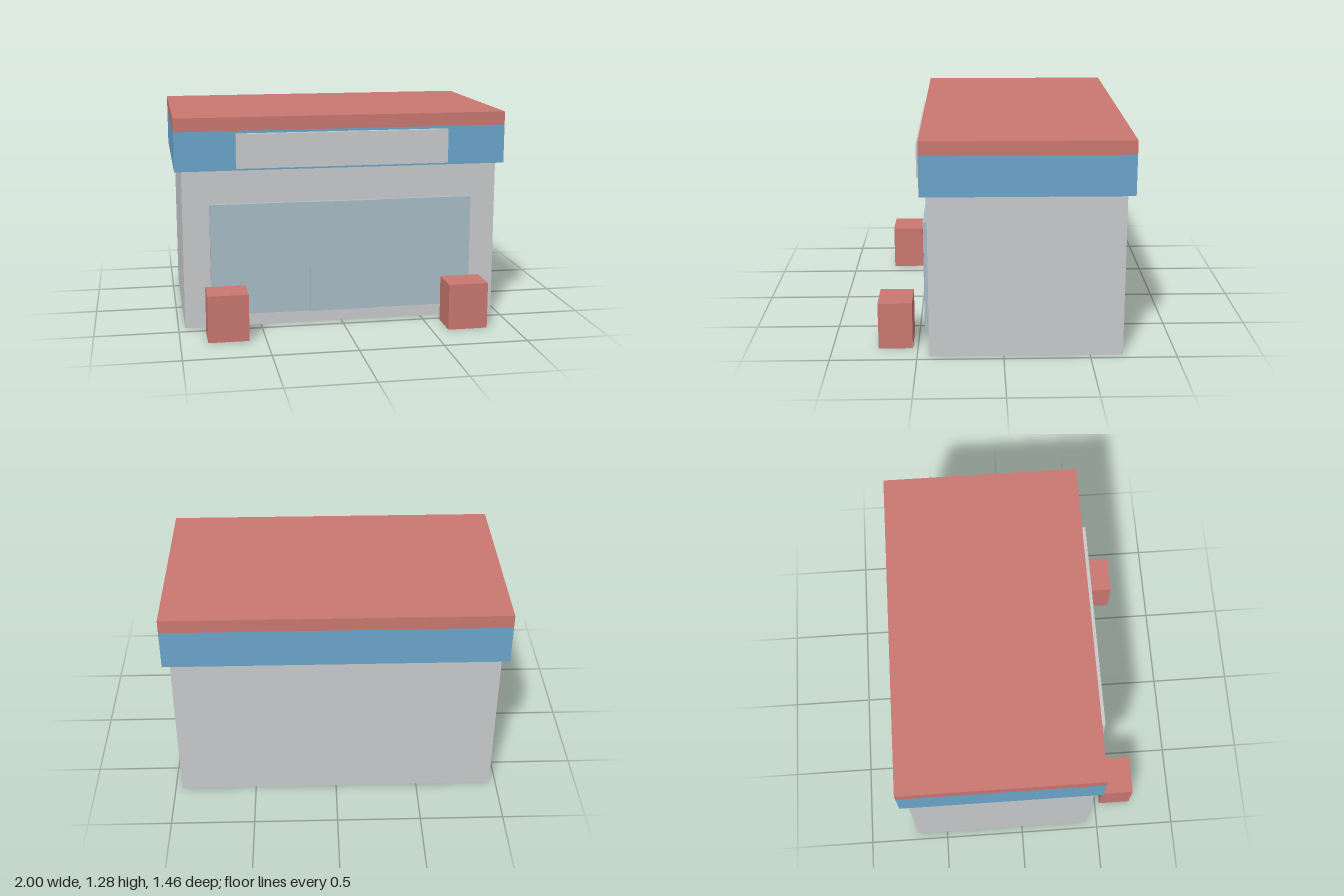
import * as THREE from 'three';

const material = (name, color) => {
  const m = new THREE.MeshStandardMaterial({ color });
  m.name = name;
  return m;
};

export function createModel() {
  const group = new THREE.Group();
  group.name = 'shopBuilding';

  const wallGrey = material('wallGrey', 0xc8c9ca);
  const fasciaBlue = material('fasciaBlue', 0x6aa5cb);
  const brickRed = material('brickRed', 0xc97770);
  const glassBlue = material('glassBlue', 0xa8bbc6);

  // Box given by its limits on each axis
  const block = (name, mat, [x0, x1], [y0, y1], [z0, z1]) => {
    const mesh = new THREE.Mesh(new THREE.BoxGeometry(x1 - x0, y1 - y0, z1 - z0), mat);
    mesh.position.set((x0 + x1) / 2, (y0 + y1) / 2, (z0 + z1) / 2);
    mesh.name = name;
    group.add(mesh);
  };

  // Building shell and overhanging roof
  block('walls', wallGrey, [-0.96, 0.96], [0, 0.965], [-0.69, 0.43]);
  block('fascia', fasciaBlue, [-1, 1], [0.965, 1.2], [-0.73, 0.47]);
  block('roofCap', brickRed, [-1, 1], [1.2, 1.28], [-0.73, 0.47]);

  // Blank sign board above the entrance
  block('signBoard', wallGrey, [-0.64, 0.64], [0.98, 1.185], [0.47, 0.5]);

  // Glazed shopfront, with the door slightly proud of the windows
  block('door', glassBlue, [-0.2, 0.2], [0.08, 0.76], [0.43, 0.47]);
  block('leftWindow', glassBlue, [0.2, 0.8], [0.08, 0.76], [0.43, 0.46]);
  block('rightWindow', glassBlue, [-0.8, -0.2], [0.08, 0.76], [0.43, 0.46]);

  // Free-standing blocks in front
  block('leftBollard', brickRed, [0.6, 0.84], [0, 0.28], [0.53, 0.73]);
  block('rightBollard', brickRed, [-0.84, -0.6], [0, 0.28], [0.53, 0.73]);

  return group;
}
